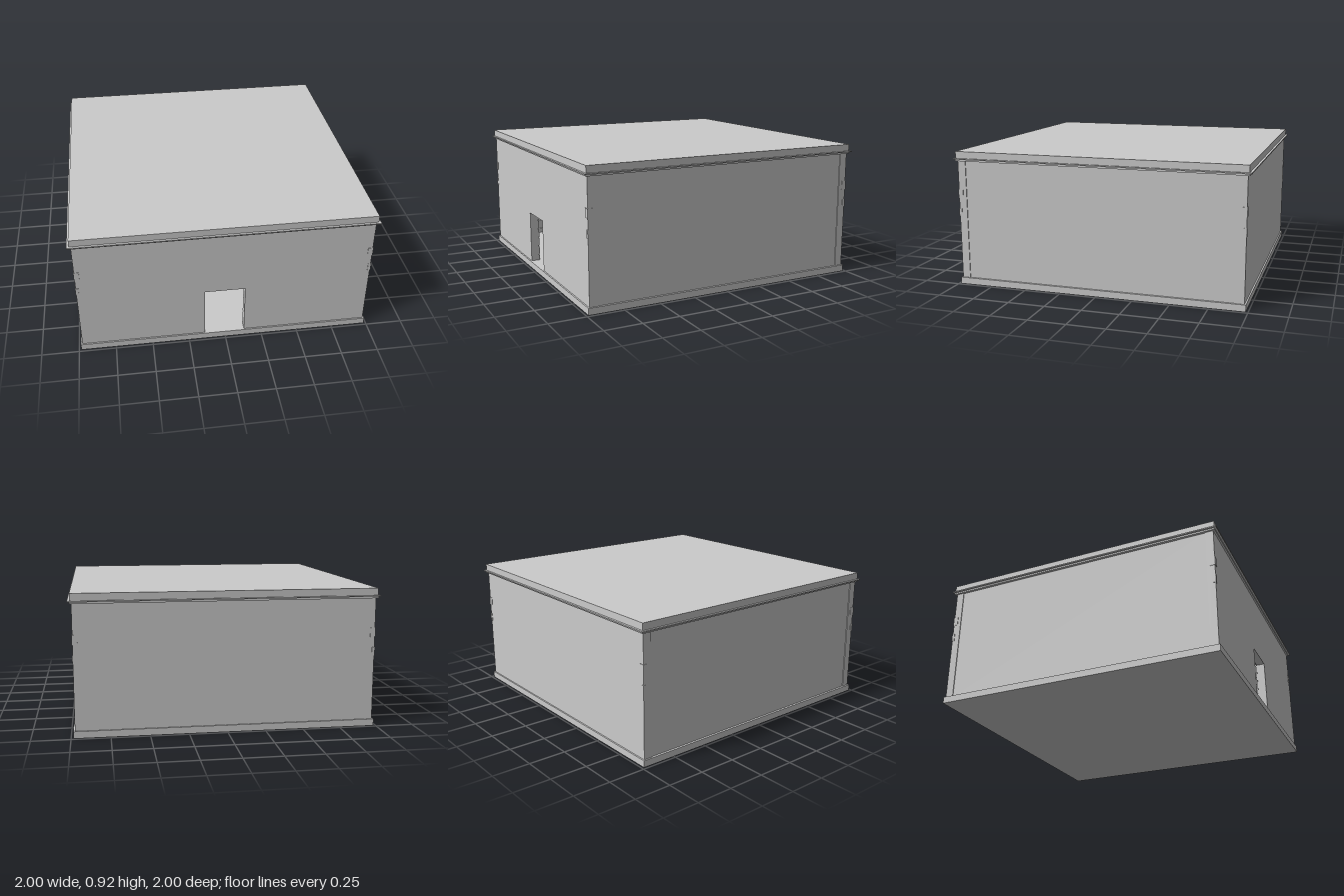
import * as THREE from 'three';
import { mergeGeometries } from 'three/addons/utils/BufferGeometryUtils.js';

const FLOOR = 0.045, TOP = 0.86, HALF = 0.975, THICK = 0.055;
const DOOR = { left: -0.14, right: 0.13, top: 0.405 };

export function createModel() {
  const model = new THREE.Group();
  const material = new THREE.MeshStandardMaterial({ color: 0xcccccc, flatShading: true });

  const add = (name, geometry) => {
    const mesh = new THREE.Mesh(geometry, material);
    mesh.name = name;
    model.add(mesh);
    return mesh;
  };
  // Box given by its width, depth and vertical range
  const slab = (name, w, d, y0, y1, x = 0, z = 0) => {
    const mesh = add(name, new THREE.BoxGeometry(w, y1 - y0, d));
    mesh.position.set(x, (y0 + y1) / 2, z);
    return mesh;
  };

  // Plinth, which is also the floor of the room
  slab('plinth', 1.97, 1.97, 0, FLOOR);

  // Front wall with its doorway
  const wall = new THREE.Shape();
  [[-HALF, FLOOR], [DOOR.left, FLOOR], [DOOR.left, DOOR.top], [DOOR.right, DOOR.top],
    [DOOR.right, FLOOR], [HALF, FLOOR], [HALF, TOP], [-HALF, TOP]]
    .forEach(([x, y], i) => (i ? wall.lineTo(x, y) : wall.moveTo(x, y)));
  const front = new THREE.ExtrudeGeometry(wall, { depth: THICK, bevelEnabled: false });
  add('frontWall', front.translate(0, 0, HALF - THICK));

  // Back wall, and side walls set slightly in from the wall ends
  slab('backWall', 2 * HALF, THICK, FLOOR, TOP, 0, -HALF + THICK / 2);
  for (const s of [-1, 1]) {
    slab(s > 0 ? 'leftWall' : 'rightWall', THICK - 0.005, 2 * (HALF - THICK), FLOOR, TOP,
      s * (HALF - 0.005 - (THICK - 0.005) / 2), 0);
  }

  // Cornice and roof slab
  slab('corniceBed', 1.975, 1.975, 0.855, 0.866);
  slab('corniceLip', 2, 2, 0.866, 0.874);
  slab('roof', 1.97, 1.97, 0.874, 0.92);

  // Small stones showing at the outer corners
  for (const sx of [-1, 1]) for (const sz of [-1, 1]) {
    for (const [y0, y1, size] of [[0.6, 0.66, 0.034], [0.475, 0.53, 0.02]]) {
      const at = HALF + 0.003 - size / 2;
      slab('cornerStone', size, size, y0, y1, sx * at, sz * at);
    }
  }

  // Brick courses lining the inside of the room
  const course = 0.0645, gap = 0.008, period = 0.24, bump = 0.008;
  const joints = [[-0.12, 0.03], [-0.06, 0.09], [-0.12, 0.03], [-0.04, 0.2]];
  const half = HALF - THICK - bump;
  const brickLining = (hasDoor) => {
    const bricks = [];
    for (let row = -7; row < 6; row++) {
      const y1 = Math.min(TOP - 0.006, DOOR.top - row * course);
      const y0 = Math.max(FLOOR, DOOR.top - (row + 1) * course + gap);
      if (y1 - y0 < 0.01) continue;
      const spans = hasDoor && row >= 0
        ? [[-half, DOOR.left], [DOOR.right, half]] : [[-half, half]];
      const pair = joints[(row + 8) % 4];
      for (const [a, b] of spans) {
        for (let k = -5; k <= 5; k++) {
          const j = [pair[0], pair[1], pair[0] + period].map((v) => v + k * period);
          for (let i = 0; i < 2; i++) {
            const x0 = Math.max(a, j[i] + gap / 2), x1 = Math.min(b, j[i + 1] - gap / 2);
            if (x1 - x0 < 0.005) continue;
            bricks.push(new THREE.BoxGeometry(x1 - x0, y1 - y0, bump)
              .translate((x0 + x1) / 2, (y0 + y1) / 2, -HALF + THICK + bump / 2));
          }
        }
      }
    }
    return mergeGeometries(bricks);
  };
  ['backBricks', 'rightBricks', 'frontBricks', 'leftBricks'].forEach((name, i) => {
    add(name, brickLining(i === 2)).rotation.y = i * Math.PI / 2;
  });
  // The front lining is turned half round, so flip it to line up with the doorway
  const lining = model.getObjectByName('frontBricks');
  lining.rotation.y = 0;
  lining.position.z = 2 * (HALF - THICK) - bump;

  return model;
}
